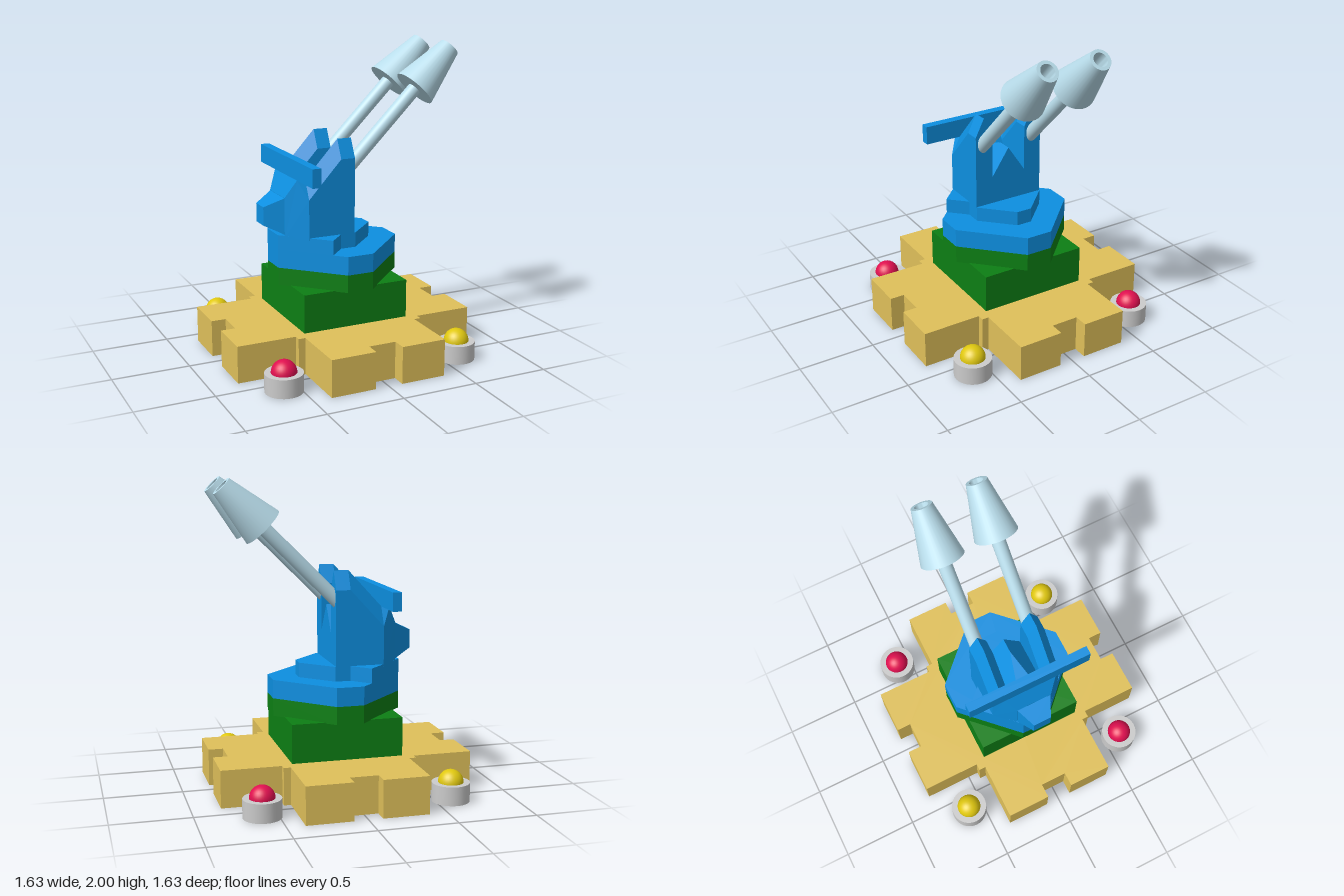
import * as THREE from 'three';
import { toCreasedNormals } from 'three/addons/utils/BufferGeometryUtils.js';

const material = (color, flatShading = false) => new THREE.MeshStandardMaterial({ color, flatShading });
const TAN = material(0xdfc05a, true);
const BLUE = material(0x0d8fe0, true);
const GREEN = material(0x0d7f14, true);
const STEEL = material(0xb8dcea);
const GREY = material(0xcccccc);
const RED = material(0xe01050);
const YELLOW = material(0xe0c810);

// Vertical prism from a plan outline of [x, z] points, symmetric in z
function prism(points, y0, y1) {
  const shape = new THREE.Shape(points.map(([x, z]) => new THREE.Vector2(x, -z)));
  const geo = new THREE.ExtrudeGeometry(shape, { depth: y1 - y0, bevelEnabled: false });
  return geo.rotateX(-Math.PI / 2).translate(0, y0, 0);
}

// Solid through convex sections, front (+x) to back; each runs bottom, -z side, top, +z side
function loft(sections) {
  const pos = [];
  const tri = (...corners) => corners.forEach((p) => pos.push(...p));
  const n = sections[0].length;
  for (let s = 0; s < sections.length - 1; s++) {
    const a = sections[s], b = sections[s + 1];
    for (let i = 0; i < n; i++) {
      const j = (i + 1) % n;
      tri(a[i], b[i], a[j]);
      tri(a[j], b[i], b[j]);
    }
  }
  const first = sections[0], last = sections[sections.length - 1];
  for (let i = 1; i < n - 1; i++) {
    tri(first[0], first[i], first[i + 1]);
    tri(last[0], last[i + 1], last[i]);
  }
  const geo = new THREE.BufferGeometry();
  geo.setAttribute('position', new THREE.Float32BufferAttribute(pos, 3));
  geo.computeVertexNormals();
  return geo;
}

// Rectangular section at x
const rect = (x, y0, y1, w) => [[x, y0, -w], [x, y1, -w], [x, y1, w], [x, y0, w]];

export function createModel() {
  const group = new THREE.Group();
  const add = (name, geo, mat, parent = group) => {
    const mesh = new THREE.Mesh(geo, mat);
    mesh.name = name;
    parent.add(mesh);
    return mesh;
  };

  // Cross-shaped base plate: one quarter outline turned four times
  const quarter = [[0.815, -0.385], [0.815, -0.09], [0.72, -0.09], [0.72, 0.09],
    [0.815, 0.09], [0.815, 0.385], [0.43, 0.385], [0.43, 0.43], [0.385, 0.43]];
  const outline = [];
  for (let k = 0; k < 4; k++) {
    const c = [1, 0, -1, 0][k], s = [0, 1, 0, -1][k];
    quarter.forEach(([x, z]) => outline.push([c * x - s * z, s * x + c * z]));
  }
  add('basePlate', prism(outline, 0, 0.24), TAN);

  // Corner posts with coloured lamps
  for (const x of [-0.6, 0.6]) for (const z of [-0.6, 0.6]) {
    add('cornerPost', new THREE.CylinderGeometry(0.12, 0.12, 0.12, 32), GREY).position.set(x, 0.06, z);
    add('cornerLamp', new THREE.SphereGeometry(0.08, 32, 20), x * z > 0 ? YELLOW : RED).position.set(x, 0.12, z);
  }

  // Pedestal and octagonal turntable
  const pedestal = add('pedestal', new THREE.BoxGeometry(0.72, 0.25, 0.72), GREEN);
  pedestal.position.y = 0.365;
  const r = 0.42, e = 0.087;
  const octagon = [[r, -e], [r, e], [e, r], [-e, r], [-r, e], [-r, -e], [-e, -r], [e, -r]];
  add('turntableRing', prism(octagon, 0.485, 0.6), GREEN);
  add('turntable', prism(octagon, 0.6, 0.72), BLUE);

  // Raised deck, flush with the octagon at the back
  const half = [[0.24, 0.05], [0.05, 0.24], [-0.05, 0.24], [-0.157, 0.35], [-0.42, 0.087]];
  const mirrored = half.map(([x, z]) => [x, -z]).reverse();
  add('deck', prism([...half, ...mirrored], 0.72, 0.815), BLUE);

  // Cab cheeks with ridged tops that slope down to the back
  const y0 = 0.8;
  const cheek = (drop, xi, xr, xo) => [[xi, y0, 0.12], [xi, 1.3 - drop, 0.12],
    [xr, 1.42 - drop, 0.18], [xo, 1.3 - drop, 0.24], [xo, y0, 0.24]];
  const sections = [cheek(0, 0.045, 0.045, 0.045), cheek(0, -0.05, -0.05, -0.05),
    cheek(0.24, -0.27, -0.27, -0.27), cheek(0.24, -0.385, -0.325, -0.27)];
  const flip = (section) => section.map(([x, y, z]) => [x, y, -z]).reverse();
  add('leftCheek', loft(sections), BLUE);
  add('rightCheek', loft(sections.map(flip)), BLUE);

  // Ridged centre between the cheeks, its crest cut off towards the back
  const centre = (x, w) => [[x, y0, -0.12], [x, 1, -0.12], [x, 1.18 - 1.5 * w, -w],
    [x, 1.18 - 1.5 * w, w], [x, 1, 0.12], [x, y0, 0.12]];
  add('cabCentre', loft([centre(0.045, 0), centre(-0.05, 0), centre(-0.25, 0.053)]), BLUE);

  // Rear support under the crossbar, and the tapered block behind it
  add('crossbarSupport', loft([rect(-0.18, y0, 1, 0.12), rect(-0.27, y0, 1.18, 0.12),
    rect(-0.325, y0, 1.18, 0.18), rect(-0.385, y0, 1.06, 0.12)]), BLUE);
  add('rearBlock', loft([rect(-0.38, 0.82, 1.06, 0.12), rect(-0.505, 0.88, 1, 0.06)]), BLUE);
  add('crossbar', new THREE.BoxGeometry(0.057, 0.12, 0.84), BLUE).position.set(-0.298, 1.24, 0);

  // Twin barrels raised 45 degrees, each with a hollow conical muzzle
  const profile = [[0, 0], [0.141, 0], [0.068, 0.356], [0.046, 0.356], [0.046, 0.2], [0, 0.2]]
    .map(([x, y]) => new THREE.Vector2(x, y));
  const muzzle = toCreasedNormals(new THREE.LatheGeometry(profile, 32), 0.6);
  for (const side of [1, -1]) {
    const gun = new THREE.Group();
    gun.name = side > 0 ? 'leftGun' : 'rightGun';
    gun.position.set(0, 1.205, side * 0.18);
    gun.rotation.z = -Math.PI / 4;
    add('barrel', new THREE.CylinderGeometry(0.045, 0.045, 0.72, 32), STEEL, gun).position.y = 0.36;
    add('muzzle', muzzle, STEEL, gun).position.y = 0.7;
    group.add(gun);
  }
  return group;
}
